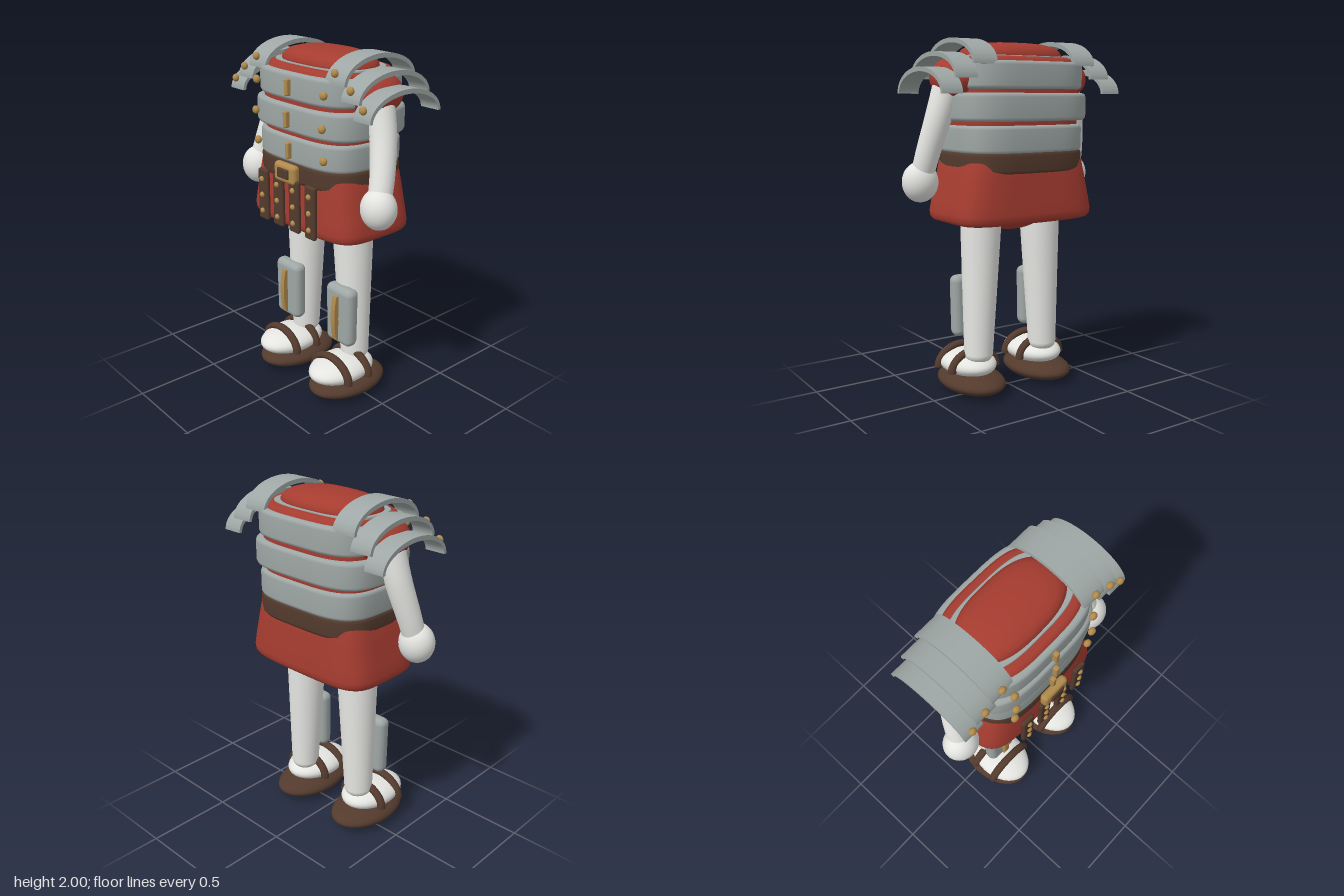
import * as THREE from 'three';
import { toCreasedNormals } from 'three/addons/utils/BufferGeometryUtils.js';
import { RoundedBoxGeometry } from 'three/addons/geometries/RoundedBoxGeometry.js';

const mat = (name, color) => {
  const m = new THREE.MeshStandardMaterial({ color });
  m.name = name;
  return m;
};

// Closed body made of stacked superellipse rings: [y, halfWidth, halfDepth]
function loft(rings, n, cz = -0.027, seg = 72) {
  const pos = [], idx = [];
  const pw = (v) => Math.sign(v) * Math.pow(Math.abs(v), 2 / n);
  for (const [y, hx, hz] of rings) {
    for (let i = 0; i < seg; i++) {
      const a = (i / seg) * Math.PI * 2;
      pos.push(hx * pw(Math.cos(a)), y, cz + hz * pw(Math.sin(a)));
    }
  }
  const last = rings.length - 1;
  for (let r = 0; r < last; r++) {
    for (let i = 0; i < seg; i++) {
      const a = r * seg + i, b = r * seg + ((i + 1) % seg);
      idx.push(a, a + seg, b, b, a + seg, b + seg);
    }
  }
  const lo = pos.length / 3, hi = lo + 1;
  pos.push(0, rings[0][0], cz, 0, rings[last][0], cz);
  for (let i = 0; i < seg; i++) {
    const j = (i + 1) % seg;
    idx.push(lo, i, j, hi, last * seg + j, last * seg + i);
  }
  const g = new THREE.BufferGeometry();
  g.setAttribute('position', new THREE.Float32BufferAttribute(pos, 3));
  g.setIndex(idx);
  g.computeVertexNormals();
  return g;
}

// Band with softly rounded upper and lower edges
const band = (y0, y1, hx, hz) => loft([
  [y0, hx - 0.035, hz - 0.035], [y0 + 0.001, hx - 0.018, hz - 0.018], [y0 + 0.007, hx - 0.006, hz - 0.006],
  [y0 + 0.022, hx, hz], [y1 - 0.022, hx, hz], [y1 - 0.007, hx - 0.006, hz - 0.006],
  [y1 - 0.001, hx - 0.018, hz - 0.018], [y1, hx - 0.035, hz - 0.035]], 3.6);

// Round limb along a curve, tapering from r0 to r1
function limb(points, r0, r1) {
  const curve = new THREE.CatmullRomCurve3(points.map((p) => new THREE.Vector3(...p)));
  const rows = 24, sides = 28;
  const g = new THREE.TubeGeometry(curve, rows, 1, sides);
  const p = g.attributes.position, v = new THREE.Vector3();
  for (let i = 0; i < p.count; i++) {
    const t = Math.floor(i / (sides + 1)) / rows, c = curve.getPointAt(t);
    v.fromBufferAttribute(p, i).sub(c).multiplyScalar(r0 + (r1 - r0) * t).add(c);
    p.setXYZ(i, v.x, v.y, v.z);
  }
  return g;
}

// Arched plate spanning front to back, extruded sideways
function archPlate(width) {
  const s = new THREE.Shape();
  s.absellipse(0, 0, 0.25, 0.14, 0, Math.PI, false);
  s.lineTo(-0.232, 0);
  s.absellipse(0, 0, 0.232, 0.115, Math.PI, 0, true);
  const g = new THREE.ExtrudeGeometry(s, { depth: width, bevelEnabled: false, curveSegments: 28 });
  g.translate(0, 0, -width / 2).rotateY(-Math.PI / 2);
  return toCreasedNormals(g, 0.6);
}

export function createModel() {
  const root = new THREE.Group();
  root.name = 'armouredFigure';
  const red = mat('red cloth', 0xa63c30), steel = mat('steel', 0x9ea7a5), leather = mat('brown leather', 0x533a2d);
  const brass = mat('brass', 0xb08a4c), white = mat('pale body', 0xe4e4e1);

  const add = (name, geo, m, x = 0, y = 0, z = 0) => {
    const mesh = new THREE.Mesh(geo, m);
    mesh.name = name;
    mesh.position.set(x, y, z);
    root.add(mesh);
    return mesh;
  };
  const ball = (name, m, c, r) => add(name, new THREE.SphereGeometry(1, 36, 24), m, ...c).scale.set(...r);
  const rivet = (x, y, z, r = 0.022) => ball('rivet', brass, [x, y, z], [r, r, r * 0.8]);
  const box = (name, m, c, s, r) => add(name, new RoundedBoxGeometry(...s, 4, r), m, ...c);

  // Torso, collar and domed top
  add('torso', loft([[1.3, 0.35, 0.25], [1.55, 0.365, 0.262], [1.75, 0.37, 0.265], [1.85, 0.36, 0.258],
    [1.885, 0.35, 0.247], [1.9, 0.335, 0.228], [1.905, 0.31, 0.2]], 3.4), red);
  add('collar', loft([[1.88, 0.335, 0.196], [1.908, 0.335, 0.196], [1.91, 0.33, 0.192]], 3.2), steel);
  add('domedTop', loft([[1.88, 0.315, 0.183], [1.92, 0.308, 0.18], [1.945, 0.29, 0.168], [1.965, 0.255, 0.145],
    [1.978, 0.2, 0.11], [1.984, 0.13, 0.07], [1.986, 0.05, 0.03]], 2.6), red);

  // Skirt and hips
  add('skirt', loft([[1.39, 0.355, 0.25], [1.34, 0.38, 0.262], [1.25, 0.4, 0.27], [1.12, 0.43, 0.278],
    [1.06, 0.441, 0.282], [1.03, 0.438, 0.28], [1.012, 0.425, 0.268], [1.004, 0.4, 0.245], [1.002, 0.36, 0.21]].reverse(), 4.5), red);
  ball('hips', red, [0, 1.06, -0.02], [0.23, 0.12, 0.17]);

  // Chest bands with centre clasps and rivets
  for (const [y0, y1, hx, hz] of [[1.73, 1.88, 0.385, 0.281], [1.56, 1.712, 0.41, 0.292], [1.388, 1.54, 0.382, 0.282]]) {
    const y = (y0 + y1) / 2, front = hz - 0.027;
    add('chestBand', band(y0, y1, hx, hz), steel);
    box('clasp', brass, [0, y, front + 0.008], [0.028, 0.09, 0.036], 0.008);
    for (const s of [-1, 1]) rivet(s * 0.28, y, front + 0.003, 0.023);
  }

  // Belt and buckle
  add('belt', band(1.278, 1.4, 0.385, 0.279), leather);
  box('buckle', brass, [0, 1.34, 0.278], [0.178, 0.11, 0.05], 0.022);
  box('bucklePlate', leather, [0, 1.342, 0.302], [0.092, 0.055, 0.024], 0.008);

  // Studded hanging straps
  for (const x of [-0.205, -0.07, 0.068, 0.203]) {
    box('hangingStrap', leather, [x, 1.165, 0.28], [0.084, 0.3, 0.028], 0.013);
    for (const y of [1.258, 1.165, 1.07]) rivet(x, y, 0.296, 0.016);
  }

  for (const s of [-1, 1]) {
    // Shoulder plates stepping down outwards
    for (const [x0, x1, y] of [[0.25, 0.395, 1.86], [0.37, 0.5, 1.787], [0.46, 0.58, 1.707]]) {
      add('shoulderPlate', archPlate(x1 - x0), steel, s * (x0 + x1) / 2, y, -0.03);
    }
    for (const [x, y] of [[0.325, 1.92], [0.44, 1.85], [0.53, 1.77]]) rivet(s * x, y, 0.222);

    // Sleeve, arm and hand
    ball('sleeve', red, [s * 0.35, 1.79, -0.025], [0.14, 0.117, 0.165]);
    add('arm', limb([[s * 0.395, 1.78, -0.02], [s * 0.45, 1.58, 0], [s * 0.495, 1.38, 0.045], [s * 0.515, 1.24, 0.085]], 0.078, 0.062), white);
    ball('hand', white, [s * 0.519, 1.23, 0.088], [0.102, 0.112, 0.093]);

    // Leg and ankle
    add('leg', limb([[s * 0.2, 1.08, -0.028], [s * 0.212, 0.65, -0.03], [s * 0.224, 0.24, -0.032]], 0.12, 0.083), white);
    ball('ankle', white, [s * 0.224, 0.24, -0.032], [0.083, 0.06, 0.083]);

    // Shin guard, narrower towards the foot
    const guard = new RoundedBoxGeometry(0.212, 0.36, 0.085, 5, 0.038);
    const p = guard.attributes.position;
    for (let i = 0; i < p.count; i++) p.setX(i, p.getX(i) * (0.93 + 0.4 * Math.min(0.18, p.getY(i) + 0.18)));
    add('shinGuard', guard, steel, s * 0.232, 0.505, 0.077);

    // Shin ridge, bowed slightly forward
    const ridge = new THREE.BoxGeometry(0.032, 0.275, 0.03, 1, 10, 1);
    const q = ridge.attributes.position;
    for (let i = 0; i < q.count; i++) q.setZ(i, q.getZ(i) - 0.8 * q.getY(i) ** 2);
    add('shinRidge', toCreasedNormals(ridge, 0.6), brass, s * 0.232, 0.497, 0.135);

    // Sandal: sole, foot and two straps
    ball('sole', leather, [s * 0.233, 0.067, 0.037], [0.173, 0.067, 0.254]);
    ball('foot', white, [s * 0.233, 0.163, 0.082], [0.152, 0.074, 0.214]);
    for (const z of [0.157, 0.003]) {
      const strap = add('sandalStrap', new THREE.TorusGeometry(0.147, 0.025, 14, 32, Math.PI), leather, s * 0.233, 0.135, z);
      strap.scale.y = 0.78;
    }
  }
  return root;
}
